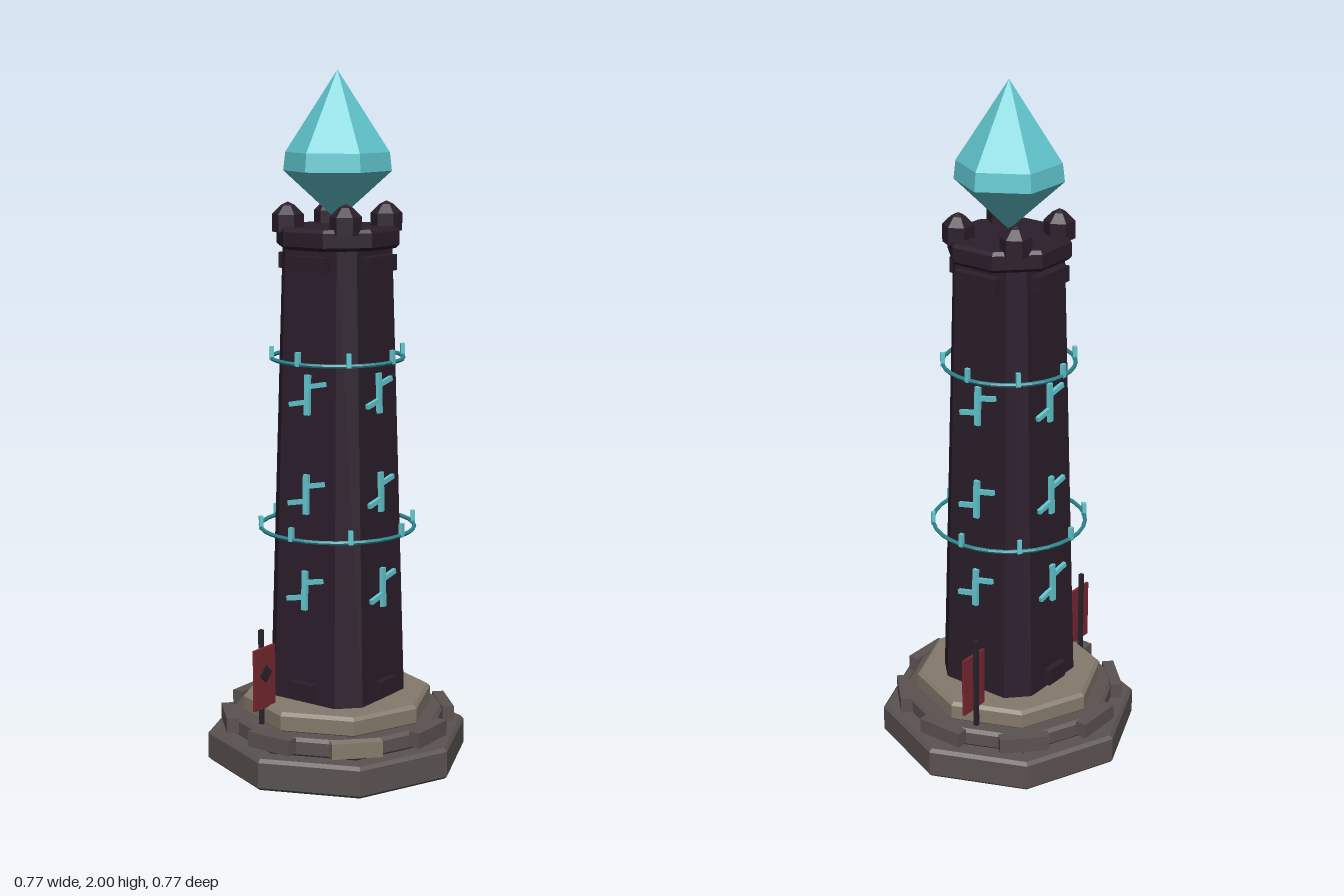
import * as THREE from 'three';

const paint = (name, color) => {
  const m = new THREE.MeshStandardMaterial({ color, flatShading: true });
  m.name = name;
  return m;
};

export function createModel() {
  const stone = paint('grey stone', 0x5a5250);
  const sand = paint('tan stone', 0x857a6b);
  const dark = paint('dark masonry', 0x2b1e2b);
  const glow = paint('bright cyan', 0x62c8d0);
  const teal = paint('deep teal', 0x2b8790);
  const red = paint('banner red', 0x7a2832);
  const iron = paint('dark iron', 0x2a242b);

  const model = new THREE.Group();
  model.name = 'crystalTower';

  const add = (parent, name, geometry, material, x = 0, y = 0, z = 0) => {
    const mesh = new THREE.Mesh(geometry, material);
    mesh.name = name;
    mesh.position.set(x, y, z);
    parent.add(mesh);
    return mesh;
  };
  const box = (w, h, d) => new THREE.BoxGeometry(w, h, d);
  const lathe = (profile, sides, start = 0) => new THREE.LatheGeometry(
    profile.map(([r, y]) => new THREE.Vector2(r, y)), sides, start);

  // Square column with cut corners; each level is [y, half width, half flat]
  const cutSquare = (levels) => {
    const geo = lathe(levels.map(([y]) => [1, y]), 8);
    const pos = geo.attributes.position;
    for (let i = 0; i <= 8; i++) {
      levels.forEach(([y, h, e], j) => {
        const corners = [[e, h], [h, e], [h, -e], [e, -h], [-e, -h], [-h, -e], [-h, e], [-e, h]];
        const [x, z] = corners[i % 8];
        pos.setXYZ(i * levels.length + j, x, y, z);
      });
    }
    geo.computeVertexNormals();
    return geo;
  };

  // Octagonal steps with bevelled rims
  const step = (name, r, y0, y1, material) => add(model, name, lathe([
    [0, y0], [r - 0.008, y0], [r, y0 + 0.008], [r, y1 - 0.01], [r - 0.01, y1], [0, y1],
  ], 8), material);
  step('lowerStep', 0.385, 0, 0.092, stone);
  step('middleStep', 0.33, 0.09, 0.145, stone);
  step('upperStep', 0.28, 0.14, 0.2, sand);

  // Loose blocks around the middle step
  for (let i = 0; i < 8; i++) {
    const a = i * Math.PI / 4;
    const block = add(model, 'stepBlock', box(0.145, 0.045, 0.035), i === 7 ? sand : stone,
      Math.sin(a) * 0.32, 0.125, Math.cos(a) * 0.32);
    block.rotation.y = a;
  }

  // Tapered shaft
  add(model, 'shaft', cutSquare([
    [0.19, 0, 0], [0.19, 0.165, 0.107], [1.53, 0.128, 0.088], [1.53, 0, 0],
  ]), dark);

  // Parapet rim with flats to the front
  add(model, 'parapet', lathe([
    [0, 1.505], [0.168, 1.505], [0.179, 1.515], [0.179, 1.555], [0.17, 1.565], [0, 1.565],
  ], 8, Math.PI / 8), dark);

  // Corner merlons
  for (const x of [-0.1, 0.1]) {
    for (const z of [-0.1, 0.1]) {
      add(model, 'merlon', lathe([
        [0, 1.55], [0.045, 1.55], [0.045, 1.6], [0.02, 1.625], [0, 1.635],
      ], 6, Math.PI / 2), dark, x, 0, z);
    }
  }

  // Face details, repeated on all four sides
  for (let i = 0; i < 4; i++) {
    const side = new THREE.Group();
    side.name = 'shaftSide';
    side.rotation.y = i * Math.PI / 2;
    model.add(side);
    add(side, 'footPlate', box(0.08, 0.05, 0.03), dark, 0, 0.235, 0.167);
    add(side, 'neckPlate', box(0.14, 0.045, 0.04), dark, 0, 1.465, 0.137);
    for (const y of [0.533, 0.813, 1.098]) {
      const rune = new THREE.Group();
      rune.name = 'rune';
      rune.position.set(0, y, 0.165 - 0.0276 * (y - 0.19) + 0.004);
      rune.rotation.x = -0.0276;
      side.add(rune);
      add(rune, 'runeStem', box(0.017, 0.115, 0.014), glow);
      add(rune, 'runeLeftArm', box(0.06, 0.014, 0.014), glow, -0.032, -0.026, 0).rotation.z = 0.2;
      add(rune, 'runeRightArm', box(0.06, 0.014, 0.014), glow, 0.032, 0.03, 0).rotation.z = 0.2;
    }
  }

  // Floating rings with small upright studs
  for (const [y, r] of [[0.695, 0.224], [1.19, 0.19]]) {
    const ring = new THREE.Group();
    ring.name = 'runeRing';
    ring.position.y = y;
    model.add(ring);
    add(ring, 'hoop', new THREE.TorusGeometry(r, 0.006, 6, 32), teal).rotation.x = Math.PI / 2;
    for (let i = 0; i < 8; i++) {
      const a = i * Math.PI / 4;
      add(ring, 'stud', box(0.013, 0.04, 0.012), glow,
        Math.sin(a) * r, 0.015, Math.cos(a) * r).rotation.y = a;
    }
  }

  // Banners either side of the tower
  for (const s of [-1, 1]) {
    const banner = new THREE.Group();
    banner.name = 'banner';
    banner.position.set(s * 0.263, 0, -0.07);
    model.add(banner);
    add(banner, 'cloth', box(0.095, 0.18, 0.008), red, 0, 0.287, 0);
    add(banner, 'pole', box(0.012, 0.28, 0.012), iron, 0, 0.287, -0.01);
    add(banner, 'diamond', box(0.037, 0.037, 0.006), iron, 0, 0.3, 0.006).rotation.z = Math.PI / 4;
  }

  // Six-sided crystal
  add(model, 'crystal', lathe([
    [0, 1.58], [0.154, 1.72], [0.148, 1.772], [0, 2],
  ], 6, Math.PI / 2), glow);

  return model;
}
